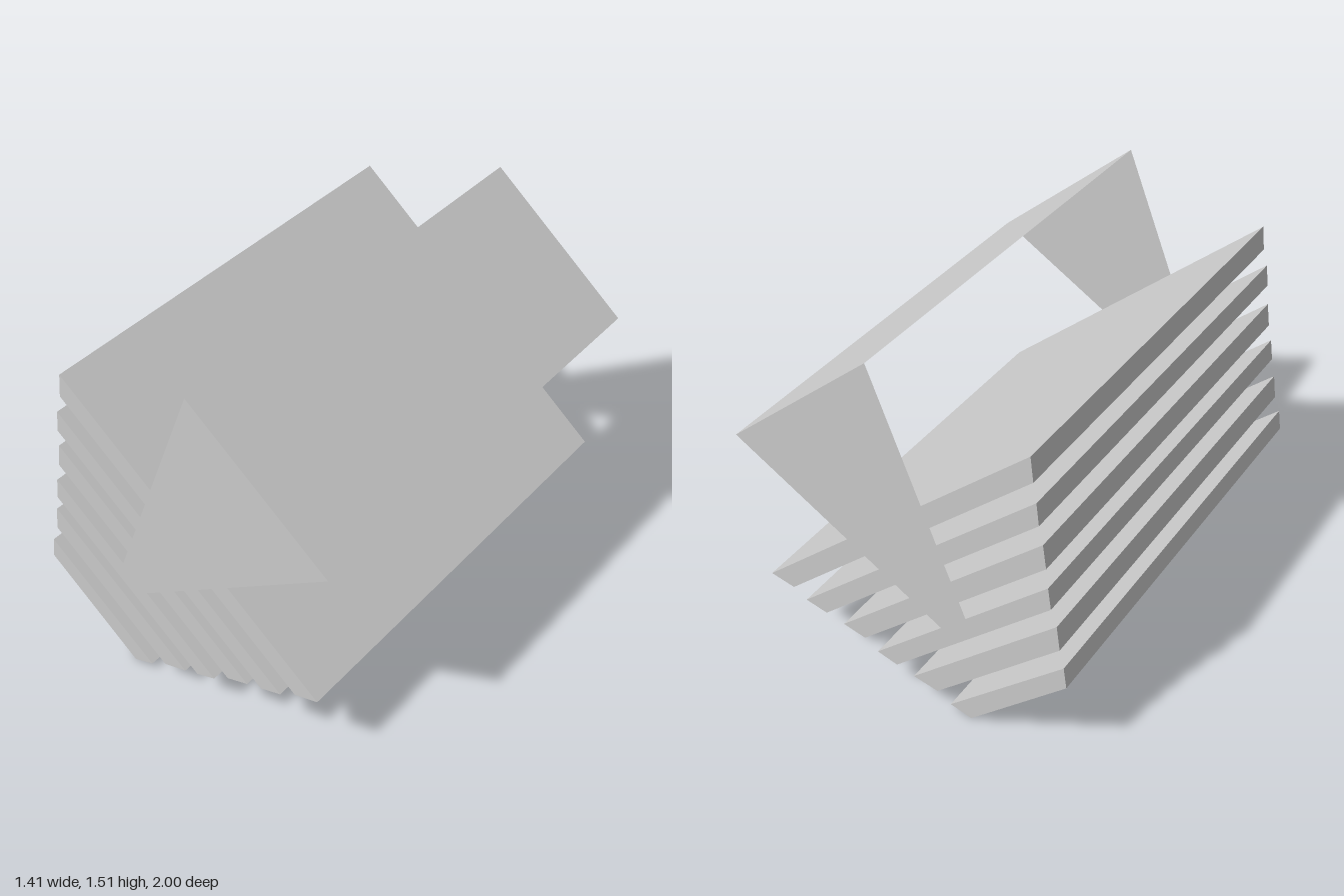
import * as THREE from 'three';

// Slat cross-sections: upper left, lower left, lower right, upper right
const SLATS = [
  [[-0.695, 0.435], [-0.707, 0.345], [-0.292, 0.0], [-0.2, 0.03]],
  [[-0.66, 0.61], [-0.673, 0.505], [-0.135, 0.062], [-0.027, 0.09]],
  [[-0.628, 0.78], [-0.64, 0.687], [0.045, 0.123], [0.133, 0.152]],
  [[-0.602, 0.957], [-0.615, 0.855], [0.197, 0.188], [0.295, 0.217]],
  [[-0.58, 1.135], [-0.59, 1.04], [0.37, 0.248], [0.465, 0.275]],
  [[-0.552, 1.315], [-0.563, 1.21], [0.53, 0.307], [0.635, 0.335]],
];

// Side panel outline; its first two corners carry the top sheet
const PANEL = [[0.088, 1.508], [-0.318, 0.475], [-0.235, 0.405], [0.705, 1.0]];

const toShape = (points) => new THREE.Shape(points.map(([x, y]) => new THREE.Vector2(x, y)));

export function createModel() {
  const model = new THREE.Group();
  const grey = new THREE.MeshStandardMaterial({ color: 0xcccccc, side: THREE.DoubleSide });
  grey.name = 'grey';

  const add = (name, geometry, parent) => {
    const mesh = new THREE.Mesh(geometry, grey);
    mesh.name = name;
    parent.add(mesh);
    return mesh;
  };

  // Stack of sloping slats, alternately a little longer and shorter
  const stack = new THREE.Group();
  stack.name = 'slatStack';
  model.add(stack);
  SLATS.forEach((points, i) => {
    const inset = i % 2 ? 0.008 : 0;
    const back = -0.968 + inset;
    const front = 0.987 - inset;
    const geometry = new THREE.ExtrudeGeometry(toShape(points), { depth: front - back, bevelEnabled: false });
    add(`slat${i + 1}`, geometry, stack).position.z = back;
  });

  // Open cover: two thin side panels joined by a sloping top sheet
  const cover = new THREE.Group();
  cover.name = 'cover';
  model.add(cover);
  add('frontPanel', new THREE.ShapeGeometry(toShape(PANEL)), cover).position.z = 1;
  const backPanel = new THREE.ShapeGeometry(toShape(PANEL.map(([x, y]) => [-x, y])));
  backPanel.rotateY(Math.PI);
  add('backPanel', backPanel, cover).position.z = -1;

  const [ax, ay] = PANEL[0];
  const [bx, by] = PANEL[3];
  const sheet = new THREE.PlaneGeometry(Math.hypot(bx - ax, by - ay), 2);
  sheet.rotateX(-Math.PI / 2);
  sheet.rotateZ(Math.atan2(by - ay, bx - ax));
  add('topSheet', sheet, cover).position.set((ax + bx) / 2, (ay + by) / 2, 0);

  return model;
}
